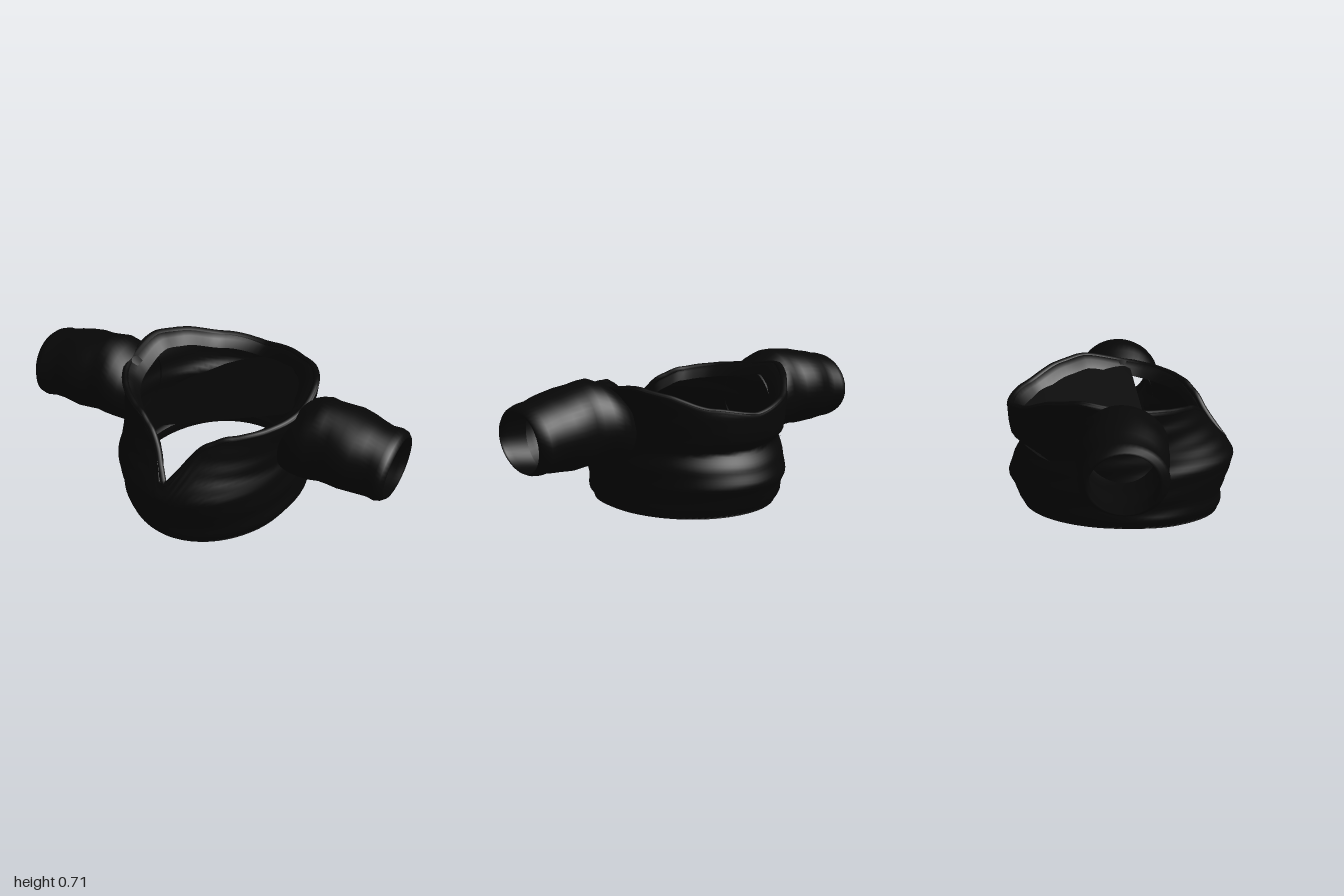
import * as THREE from 'three';

const cloth = new THREE.MeshStandardMaterial({ color: 0x070707, side: THREE.DoubleSide });
cloth.name = 'black cloth';

// Smooth interpolation in a small table of [key, value] pairs
function sample(table, k) {
  if (k <= table[0][0]) return table[0][1];
  for (let i = 1; i < table.length; i++) {
    const [k0, v0] = table[i - 1], [k1, v1] = table[i];
    if (k <= k1) {
      const u = (k - k0) / (k1 - k0), s = u * 0.5 + u * u * (3 - 2 * u) * 0.5;
      return v0 + (v1 - v0) * s;
    }
  }
  return table[table.length - 1][1];
}

// Surface through rings of points; skip(centre) leaves holes
function loft(name, rows, cols, pointAt, skip = () => false) {
  const pos = [], idx = [], pts = [];
  for (let i = 0; i < rows; i++) for (let j = 0; j < cols; j++) {
    const p = pointAt(i, j / cols * Math.PI * 2);
    pts.push(p);
    pos.push(p.x, p.y, p.z);
  }
  for (let i = 0; i < rows - 1; i++) for (let j = 0; j < cols; j++) {
    const a = i * cols + j, b = i * cols + (j + 1) % cols, c = a + cols, d = b + cols;
    if (skip(pts[a].clone().add(pts[d]).multiplyScalar(0.5))) continue;
    idx.push(a, b, d, a, d, c);
  }
  const g = new THREE.BufferGeometry();
  g.setAttribute('position', new THREE.Float32BufferAttribute(pos, 3));
  g.setIndex(idx);
  g.computeVertexNormals();
  const m = new THREE.Mesh(g, cloth);
  m.name = name;
  return m;
}

// Body outline by height: half width, front depth, back depth
const halfWidth = [[0.03, 0.435], [0.08, 0.472], [0.14, 0.462], [0.2, 0.474], [0.3, 0.474], [0.4, 0.46], [0.55, 0.475], [0.62, 0.495], [0.7, 0.515]];
const frontDepth = [[0, 0.5], [0.05, 0.52], [0.1, 0.515], [0.17, 0.54], [0.24, 0.565], [0.3, 0.58], [0.36, 0.545], [0.42, 0.5], [0.5, 0.45], [0.6, 0.41], [0.7, 0.37]];
const backDepth = [[0.04, 0.5], [0.1, 0.53], [0.14, 0.545], [0.2, 0.575], [0.28, 0.55], [0.37, 0.505], [0.42, 0.56], [0.48, 0.57], [0.56, 0.575], [0.7, 0.53]];
// Neckline and hem heights by angle from the front, in degrees
const neckline = [[0, 0.37], [3, 0.37], [6, 0.42], [17, 0.55], [30, 0.6], [48, 0.62], [65, 0.635], [85, 0.65], [112, 0.69], [128, 0.665], [150, 0.6], [180, 0.56]];
const hem = [[0, 0.003], [60, 0.022], [90, 0.037], [180, 0.042]];

function bodyPoint(angle, y, inset = 0) {
  const c = Math.cos(angle), s = Math.sin(angle);
  const depth = sample(c > 0 ? frontDepth : backDepth, y) - inset;
  const fold = 1 + 0.008 * Math.sin(y * 55 + 2 * Math.sin(angle * 2)) * s * s;
  return new THREE.Vector3((sample(halfWidth, y) - inset) * s * fold, y, depth * c);
}
const fromFront = a => THREE.MathUtils.radToDeg(a > Math.PI ? 2 * Math.PI - a : a);

function makeBody() {
  const wallRows = 36;
  // The left armhole is open; the right one is closed by the lining cloth
  const inArmhole = p => p.x > 0.3 && ((p.y - 0.46) / 0.15) ** 2 + (p.z / 0.16) ** 2 < 1;
  return loft('body', wallRows + 4, 96, (i, a) => {
    const low = sample(hem, fromFront(a)), high = sample(neckline, fromFront(a));
    if (i === 0) return bodyPoint(a, low + 0.05, 0.03);               // turned-in hem
    if (i > wallRows) {                                               // turned-in neck edge, widest at the shoulders
      const k = i - wallRows, width = 0.045 + 0.06 * Math.sin(a) ** 2 + 0.025 * Math.max(0, -Math.cos(a));
      const p = bodyPoint(a, high, width * k / 3);
      p.y -= [0, 0.004, 0.02, 0.06][k];
      return p;
    }
    return bodyPoint(a, low + (high - low) * (i - 1) / (wallRows - 1));
  }, inArmhole);
}

// Rolled band following the neckline
function makeNeckband() {
  const pts = [];
  for (let j = 0; j < 60; j++) {
    const a = j / 60 * Math.PI * 2;
    pts.push(bodyPoint(a, sample(neckline, fromFront(a)) - 0.012, 0.016));
  }
  const m = new THREE.Mesh(new THREE.TubeGeometry(new THREE.CatmullRomCurve3(pts, true), 160, 0.018, 8, true), cloth);
  m.name = 'neckband';
  return m;
}

// Sleeve rings: distance from centre, middle height, half height, half depth
const sleeveRings = [
  [0.43, 0.465, 0.17, 0.18], [0.48, 0.475, 0.187, 0.205], [0.53, 0.49, 0.2, 0.218], [0.58, 0.5, 0.21, 0.215],
  [0.63, 0.5, 0.208, 0.198], [0.68, 0.497, 0.203, 0.207], [0.74, 0.493, 0.202, 0.217], [0.8, 0.488, 0.193, 0.21],
  [0.85, 0.482, 0.187, 0.196], [0.9, 0.475, 0.175, 0.194], [0.94, 0.472, 0.172, 0.208], [0.97, 0.469, 0.165, 0.2],
  [0.99, 0.466, 0.152, 0.175], [0.985, 0.462, 0.145, 0.16], [0.95, 0.46, 0.15, 0.158], [0.85, 0.46, 0.158, 0.16],
];

function makeSleeve(name, side) {
  return loft(name, sleeveRings.length, 48, (i, a) => {
    const [x, yc, ry, rz] = sleeveRings[i];
    const wrinkle = 1 + 0.012 * Math.sin(3 * a + x * 22);
    const y = yc + ry * Math.cos(a) * wrinkle;
    const lean = Math.max(0, x - 0.7) * 0.25 * (y - 0.5);             // cuff leans outward at the top
    return new THREE.Vector3(side * (x + lean), y, side * rz * Math.sin(a) * wrinkle);
  });
}

// Slanting inner panel meeting the back wall, lower at the model's right
function makeLining() {
  const outline = [[-0.22, 0.36], [-0.3, 0.165], [0.3, 0.075], [0.4, 0.06]];
  for (let deg = 90; deg <= 270; deg += 12) {
    const a = THREE.MathUtils.degToRad(deg);
    outline.push([0.45 * Math.sin(a), 0.545 * Math.cos(a)]);
  }
  outline.push([-0.41, 0.19], [-0.32, 0.34]);
  const g = new THREE.ShapeGeometry(new THREE.Shape(outline.map(([x, z]) => new THREE.Vector2(x, -z))));
  g.rotateX(-Math.PI / 2);
  const p = g.attributes.position;
  for (let i = 0; i < p.count; i++) p.setY(i, 0.475 + 0.36 * p.getX(i));
  g.computeVertexNormals();
  const m = new THREE.Mesh(g, cloth);
  m.name = 'lining';
  return m;
}

export function createModel() {
  const group = new THREE.Group();
  group.name = 'croppedTop';
  group.add(makeBody(), makeNeckband(), makeSleeve('leftSleeve', 1), makeSleeve('rightSleeve', -1), makeLining());
  return group;
}
